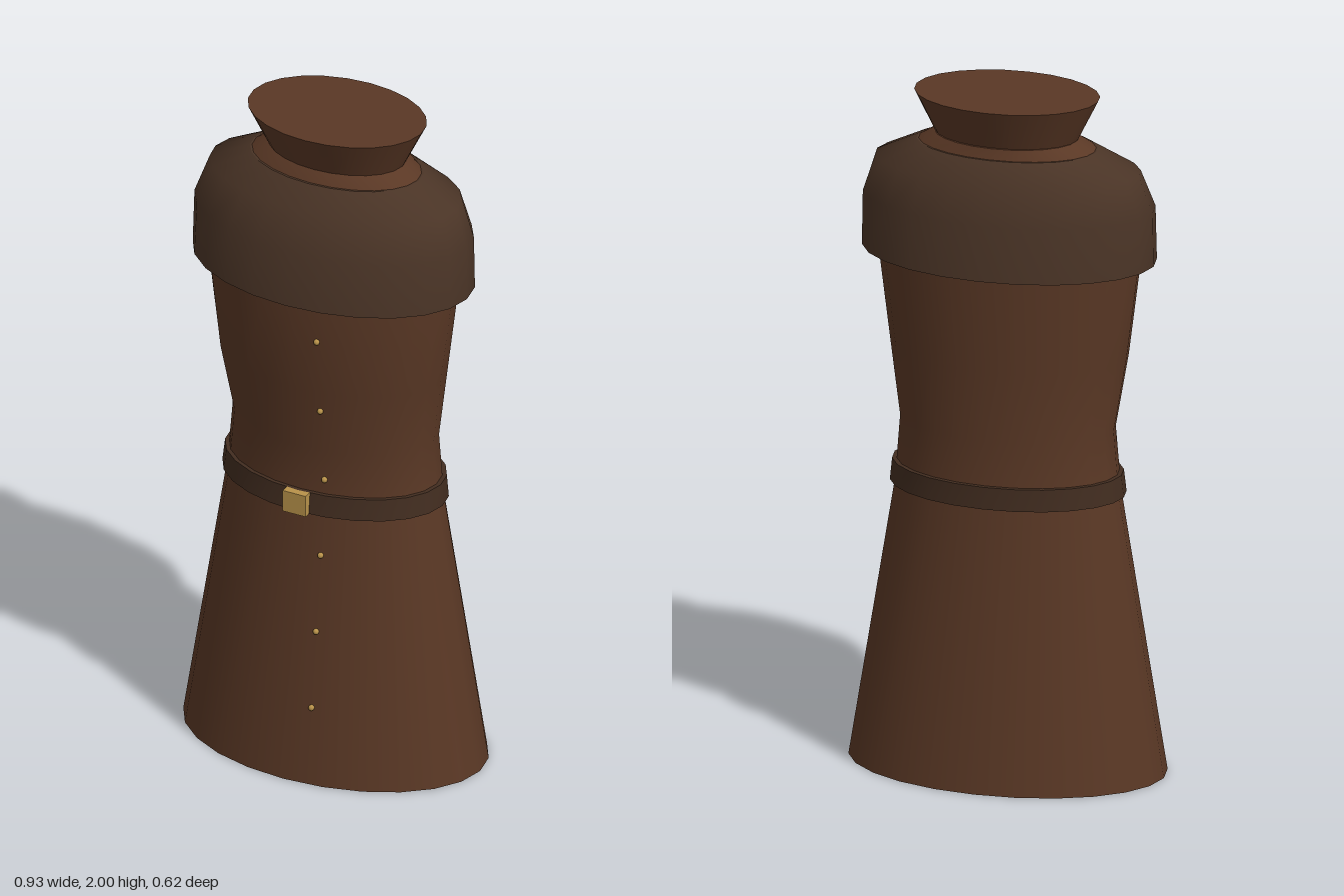
import * as THREE from 'three';
import { mergeGeometries } from 'three/addons/utils/BufferGeometryUtils.js';

const SIDES = 24;
const material = (color) => new THREE.MeshStandardMaterial({ color, side: THREE.DoubleSide });

// Smooth strip through elliptical rings [y, halfWidth, zFront, zBack], listed upwards on the outside
function strip(rows) {
  const position = [], index = [];
  rows.forEach(([y, rx, front, back], r) => {
    for (let i = 0; i < SIDES; i++) {
      const a = (i / SIDES) * Math.PI * 2;
      position.push(Math.sin(a) * rx, y, (front + back) / 2 + Math.cos(a) * (front - back) / 2);
      if (r === rows.length - 1) continue;
      const j = (i + 1) % SIDES, p = r * SIDES, q = p + SIDES;
      index.push(p + i, p + j, q + j, p + i, q + j, q + i);
    }
  });
  const geometry = new THREE.BufferGeometry();
  geometry.setAttribute('position', new THREE.Float32BufferAttribute(position, 3));
  geometry.setIndex(index);
  geometry.computeVertexNormals();
  return geometry;
}

// A ring shrunk to its centre (or part way), for caps and rims
function shrink([y, rx, front, back], k) {
  const c = (front + back) / 2;
  return [y, rx * k, c + (front - c) * k, c + (back - c) * k];
}

// Wall with flat ends; the end factors say how far each end closes inwards
function loft(name, rows, mat, bottom = 0, top = 0) {
  const first = rows[0], last = rows[rows.length - 1];
  const mesh = new THREE.Mesh(mergeGeometries([
    strip([shrink(first, bottom), first]),
    strip(rows),
    strip([last, shrink(last, top)]),
  ]), mat);
  mesh.name = name;
  return mesh;
}

export function createModel() {
  const model = new THREE.Group();
  model.name = 'coat';
  const cloth = material(0x5a3825), capeCloth = material(0x4a3426);
  const leather = material(0x422d20), brass = material(0xb8924a);

  // Coat from hem to neck
  const bodyRows = [
    [0, 0.465, 0.308, -0.308],
    [0.83, 0.33, 0.215, -0.212],
    [1.02, 0.315, 0.2, -0.2],
    [1.23, 0.347, 0.245, -0.213],
    [1.5, 0.382, 0.256, -0.224],
    [1.66, 0.39, 0.245, -0.225],
    [1.77, 0.36, 0.2, -0.2],
    [1.85, 0.26, 0.155, -0.165],
    [1.88, 0.21, 0.13, -0.155],
  ];
  model.add(loft('coatBody', bodyRows, cloth));

  // Shoulder cape, open at the neck
  model.add(loft('shoulderCape', [
    [1.52, 0.43, 0.295, -0.27],
    [1.68, 0.428, 0.276, -0.255],
    [1.79, 0.39, 0.22, -0.222],
    [1.85, 0.265, 0.162, -0.172],
  ], capeCloth, 0.88, 0.95));

  // Flared collar
  model.add(loft('collar', [
    [1.87, 0.205, 0.125, -0.143],
    [2, 0.27, 0.185, -0.2],
  ], cloth));

  // Belt and buckle
  model.add(loft('belt', [
    [0.825, 0.345, 0.229, -0.225],
    [0.89, 0.338, 0.222, -0.222],
  ], leather, 0.92, 0.92));
  const buckle = new THREE.Mesh(new THREE.BoxGeometry(0.074, 0.066, 0.03), brass);
  buckle.name = 'buckle';
  buckle.position.set(0, 0.857, 0.23);
  model.add(buckle);

  // Row of buttons, seated on the front of the coat
  const x = 0.075;
  for (let i = 0; i < 6; i++) {
    const y = 0.235 + i * 0.233;
    const k = bodyRows.findIndex((row) => row[0] > y);
    const [lo, hi] = [bodyRows[k - 1], bodyRows[k]];
    const t = (y - lo[0]) / (hi[0] - lo[0]);
    const [, rx, front, back] = lo.map((v, n) => THREE.MathUtils.lerp(v, hi[n], t));
    const button = new THREE.Mesh(new THREE.SphereGeometry(0.009, 10, 8), brass);
    button.name = 'button';
    button.position.set(x, y, (front + back) / 2 + (front - back) / 2 * Math.sqrt(1 - (x / rx) ** 2) + 0.002);
    model.add(button);
  }
  return model;
}
